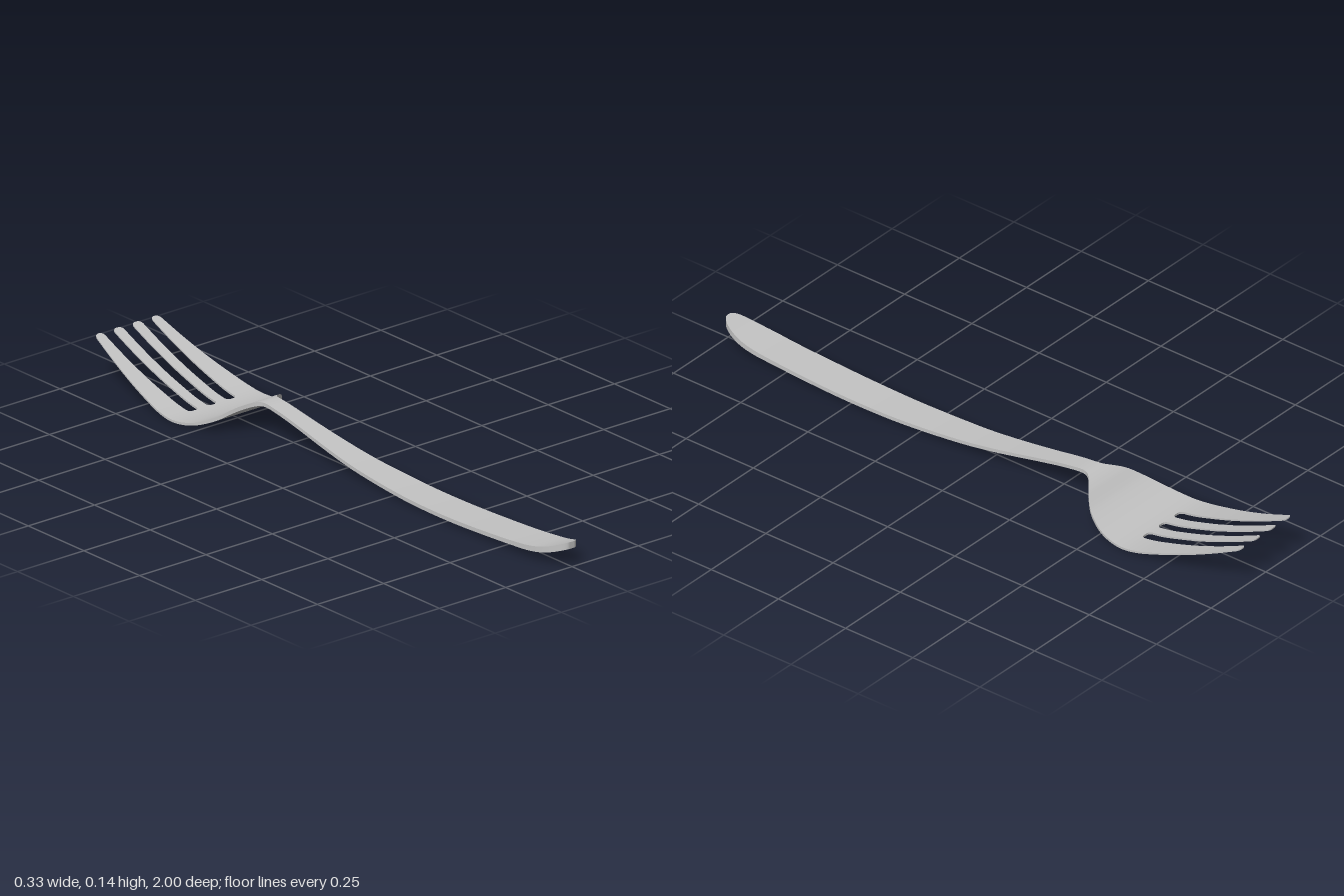
import * as THREE from 'three';
import { mergeGeometries, toCreasedNormals } from 'three/addons/utils/BufferGeometryUtils.js';

// Smooth curve through [z, value] points, listed by falling z
function curve(points) {
  const slope = points.map((p, i) => {
    const a = points[Math.max(i - 1, 0)], b = points[Math.min(i + 1, points.length - 1)];
    return (b[1] - a[1]) / (b[0] - a[0]);
  });
  return (z) => {
    let i = 0;
    while (i < points.length - 2 && z < points[i + 1][0]) i++;
    const [z0, v0] = points[i], [z1, v1] = points[i + 1], h = z1 - z0;
    const t = (z - z0) / h, s = t * t * (3 - 2 * t);
    return v0 + (v1 - v0) * s + h * (slope[i] * t * (1 - t) ** 2 - slope[i + 1] * t * t * (1 - t));
  };
}

// Side profile, metal thickness and half width along the length
const topY = curve([[1, .078], [.95, .059], [.9, .046], [.8, .034], [.6, .022], [.45, .018], [.3, .02],
  [.1, .033], [0, .045], [-.1, .061], [-.2, .079], [-.3, .096], [-.36, .1], [-.4, .085], [-.45, .048],
  [-.5, .024], [-.55, .011], [-.6, .007], [-.65, .013], [-.7, .025], [-.8, .055], [-.9, .092], [-1, .135]]);
const thickness = curve([[1, .021], [.8, .014], [.5, .012], [-.3, .011], [-.4, .013], [-.5, .009],
  [-.6, .007], [-.8, .005], [-1, .004]]);
const halfWidth = curve([[.82, .058], [.6, .06], [.4, .058], [.2, .052], [0, .042], [-.2, .031],
  [-.3, .029], [-.345, .029], [-.365, .035], [-.38, .048], [-.4, .073], [-.42, .097], [-.45, .124],
  [-.5, .149], [-.55, .162], [-.6, .167], [-.65, .166], [-.7, .161], [-.8, .148], [-.9, .134], [-1, .12]]);

const ROOT = -.61, CORNER = .013;

// Rounded end of the handle is elliptical
const width = (z) => z > .82 ? .058 * Math.sqrt(Math.max(0, 1 - ((z - .82) / .18) ** 2)) + .004 * (z - .82) / .18 : halfWidth(z);

// How far a quarter-round corner cuts in at distance d from the end
const corner = (d) => d >= CORNER ? 0 : CORNER - Math.sqrt(CORNER ** 2 - (CORNER - d) ** 2);

// Bent strip of metal between the edges left(z) and right(z)
function strip(rows, left, right, startCap) {
  const pos = [], index = [];
  for (const z of rows) {
    const t = topY(z), b = t - thickness(z), l = left(z), r = right(z);
    pos.push(l, b, z, r, b, z, r, t, z, l, t, z);
  }
  for (let i = 0; i < rows.length - 1; i++) {
    for (let k = 0; k < 4; k++) {
      const a = i * 4 + k, b = i * 4 + (k + 1) % 4;
      index.push(a, a + 4, b + 4, a, b + 4, b);
    }
  }
  if (startCap) index.push(0, 1, 2, 0, 2, 3);
  const e = (rows.length - 1) * 4;
  index.push(e, e + 2, e + 1, e, e + 3, e + 2);
  const g = new THREE.BufferGeometry();
  g.setAttribute('position', new THREE.Float32BufferAttribute(pos, 3));
  g.setIndex(index);
  return g;
}

const span = (a, b, n) => Array.from({ length: n }, (_, i) => a + (b - a) * i / n);
const arc = Array.from({ length: 7 }, (_, i) => CORNER * (1 - Math.cos(i * Math.PI / 12)));

export function createModel() {
  const group = new THREE.Group();
  group.name = 'fork';
  const steel = new THREE.MeshStandardMaterial({ color: 0xc4c4c4 });
  steel.name = 'steel';

  // Handle and bowl, one continuous strip down to the slot roots
  const endRows = Array.from({ length: 16 }, (_, i) => .82 + .18 * Math.cos(i * Math.PI / 32));
  const bodyRows = [...endRows, ...span(.82, -.3, 40), ...span(-.3, ROOT, 62), ROOT];
  const parts = [strip(bodyRows, (z) => -width(z), width, true)];

  // Four tines with rounded slot roots and rounded tips
  const tineRows = [...arc.map((d) => ROOT - d), ...span(ROOT - CORNER, -1 + CORNER, 30).slice(1),
    ...arc.map((d) => -1 + d).reverse()];
  const tip = (z) => corner(Math.max(0, z + 1));
  const slot = (edge, dir) => (z) => edge + dir * (corner(Math.max(0, ROOT - z)) - tip(z));
  const outer = (z) => halfWidth(z) - tip(z);
  const tines = [
    [slot(.09, -1), outer],
    [slot(.018, -1), slot(.053, 1)],
  ];
  for (const [inside, outside] of tines) {
    parts.push(strip(tineRows, inside, outside, false));
    parts.push(strip(tineRows, (z) => -outside(z), (z) => -inside(z), false));
  }

  const names = ['handleAndBowl', 'outerTineLeft', 'outerTineRight', 'innerTineLeft', 'innerTineRight'];
  // Smooth faces, crisp rims
  parts.forEach((g, i) => {
    const mesh = new THREE.Mesh(toCreasedNormals(mergeGeometries([g]), .7), steel);
    mesh.name = names[i];
    group.add(mesh);
  });
  return group;
}
